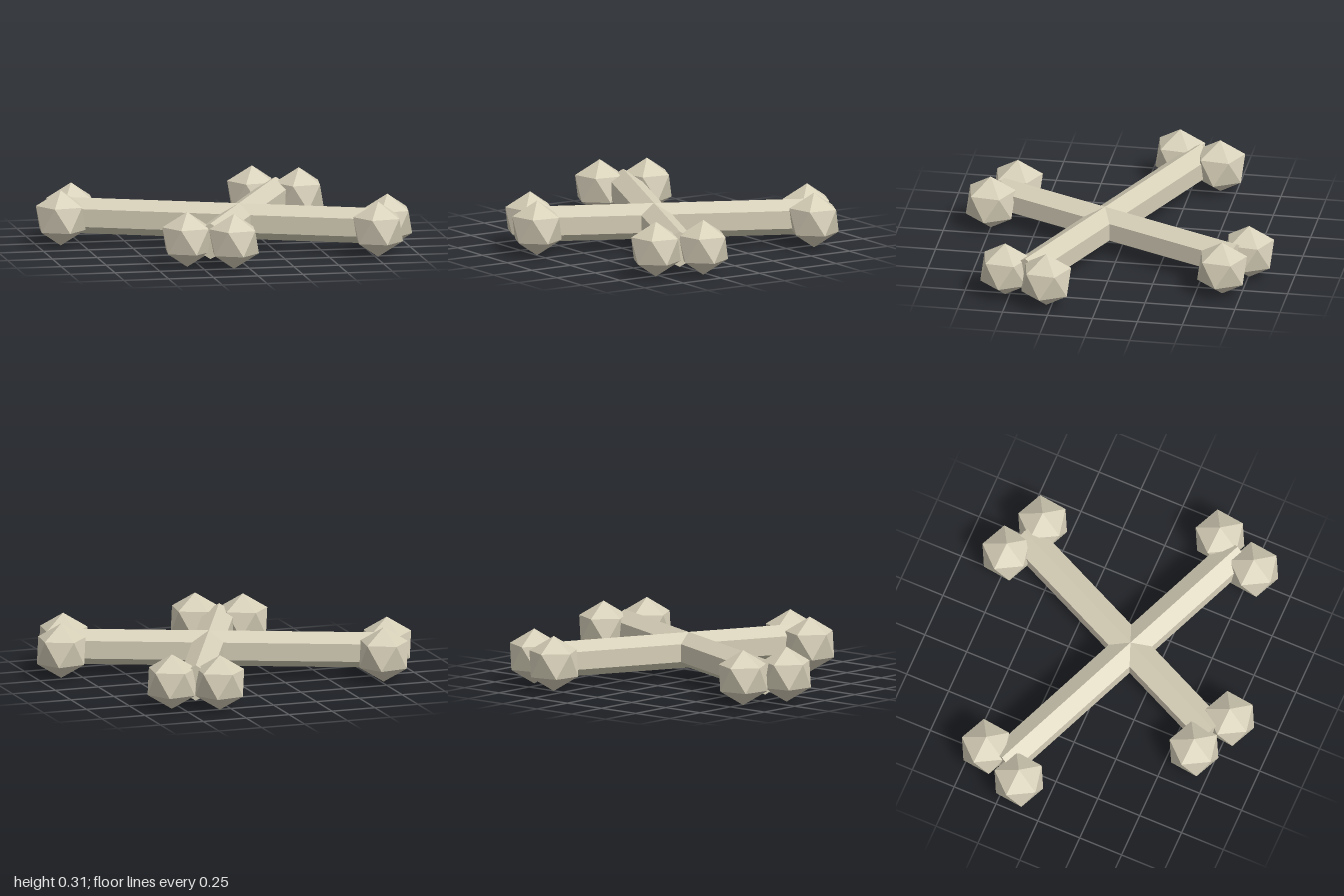
import * as THREE from 'three';

export function createModel() {
  const model = new THREE.Group();
  model.name = 'crossedBones';
  const bone = new THREE.MeshStandardMaterial({ color: 0xd6cfb8, flatShading: true });
  bone.name = 'bone';

  // Knob: icosahedron turned so that one corner points straight up
  const knobRadius = 0.153;
  const knobGeometry = new THREE.IcosahedronGeometry(knobRadius, 0);
  knobGeometry.rotateZ(Math.atan(2 / (1 + Math.sqrt(5))));
  knobGeometry.rotateY(-0.12);

  // Each bone end holds a pair of knobs, given as [x, z]
  const bones = [
    { name: 'longBone', ends: [[[-0.765, -0.41], [-0.87, -0.17]], [[0.865, 0.28], [0.765, 0.525]]] },
    { name: 'shortBone', ends: [[[0.315, -0.755], [0.555, -0.645]], [[-0.325, 0.64], [-0.085, 0.75]]] },
  ];

  for (const { name, ends } of bones) {
    const group = new THREE.Group();
    group.name = name;

    // Six-sided shaft with a ridge on top, running between the knob pairs
    const [a, b] = ends.map(([p, q]) => new THREE.Vector3((p[0] + q[0]) / 2, 0.148, (p[1] + q[1]) / 2));
    const run = b.clone().sub(a);
    const shaftGeometry = new THREE.CylinderGeometry(0.099, 0.099, run.length() + 0.01, 6);
    shaftGeometry.rotateX(Math.PI / 2);
    const shaft = new THREE.Mesh(shaftGeometry, bone);
    shaft.name = 'shaft';
    shaft.position.copy(a).add(b).multiplyScalar(0.5);
    shaft.rotation.y = Math.atan2(run.x, run.z);
    group.add(shaft);

    for (const [x, z] of ends.flat()) {
      const knob = new THREE.Mesh(knobGeometry, bone);
      knob.name = 'knob';
      knob.position.set(x, knobRadius, z);
      group.add(knob);
    }
    model.add(group);
  }
  return model;
}
